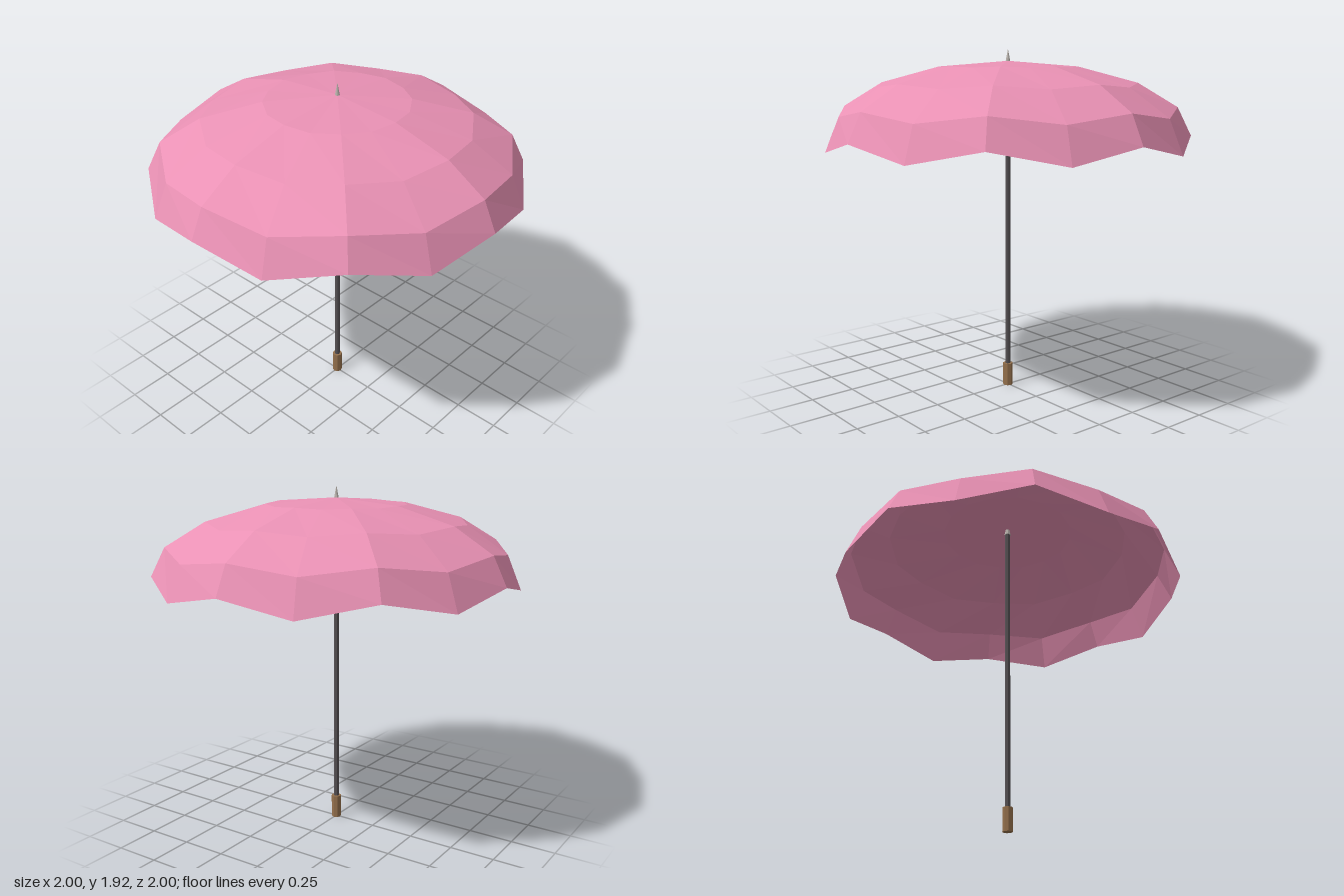
import * as THREE from 'three';

const RIM_Y = 1.46;   // height of the rim at the raised points
const RISE = 0.4;     // dome height above the rim
const DIP = 0.075;    // how far every second rim point hangs down
const SIDES = 16, RINGS = 4;

function part(name, geometry, color, y = 0, side = THREE.FrontSide) {
  const material = new THREE.MeshStandardMaterial({ color, flatShading: true, side });
  const mesh = new THREE.Mesh(geometry, material);
  mesh.name = name;
  mesh.position.y = y;
  return mesh;
}

// Flattened half sphere whose alternate ribs sag towards the rim
function canopyGeometry() {
  const geo = new THREE.SphereGeometry(1, SIDES, RINGS, 0, Math.PI * 2, 0, Math.PI / 2);
  const pos = geo.attributes.position;
  for (let ring = 0; ring <= RINGS; ring++) {
    for (let s = 0; s <= SIDES; s++) {
      const i = ring * (SIDES + 1) + s;
      const sag = s % 2 ? DIP * (ring / RINGS) ** 2 : 0;
      pos.setY(i, pos.getY(i) * RISE - sag);
    }
  }
  geo.computeVertexNormals();
  return geo;
}

export function createModel() {
  const umbrella = new THREE.Group();
  umbrella.name = 'umbrella';

  umbrella.add(
    part('canopy', canopyGeometry(), 0xe991b4, RIM_Y, THREE.DoubleSide),
    // Pole from inside the handle up to the dome
    part('pole', new THREE.CylinderGeometry(0.015, 0.015, 1.73, 8), 0x555053, 0.965),
    part('handle', new THREE.CylinderGeometry(0.028, 0.028, 0.13, 8), 0x94704c, 0.065),
    // Spike poking through the top of the canopy
    part('tip', new THREE.ConeGeometry(0.019, 0.1, 8), 0xb8b2ac, 1.875),
  );
  return umbrella;
}
